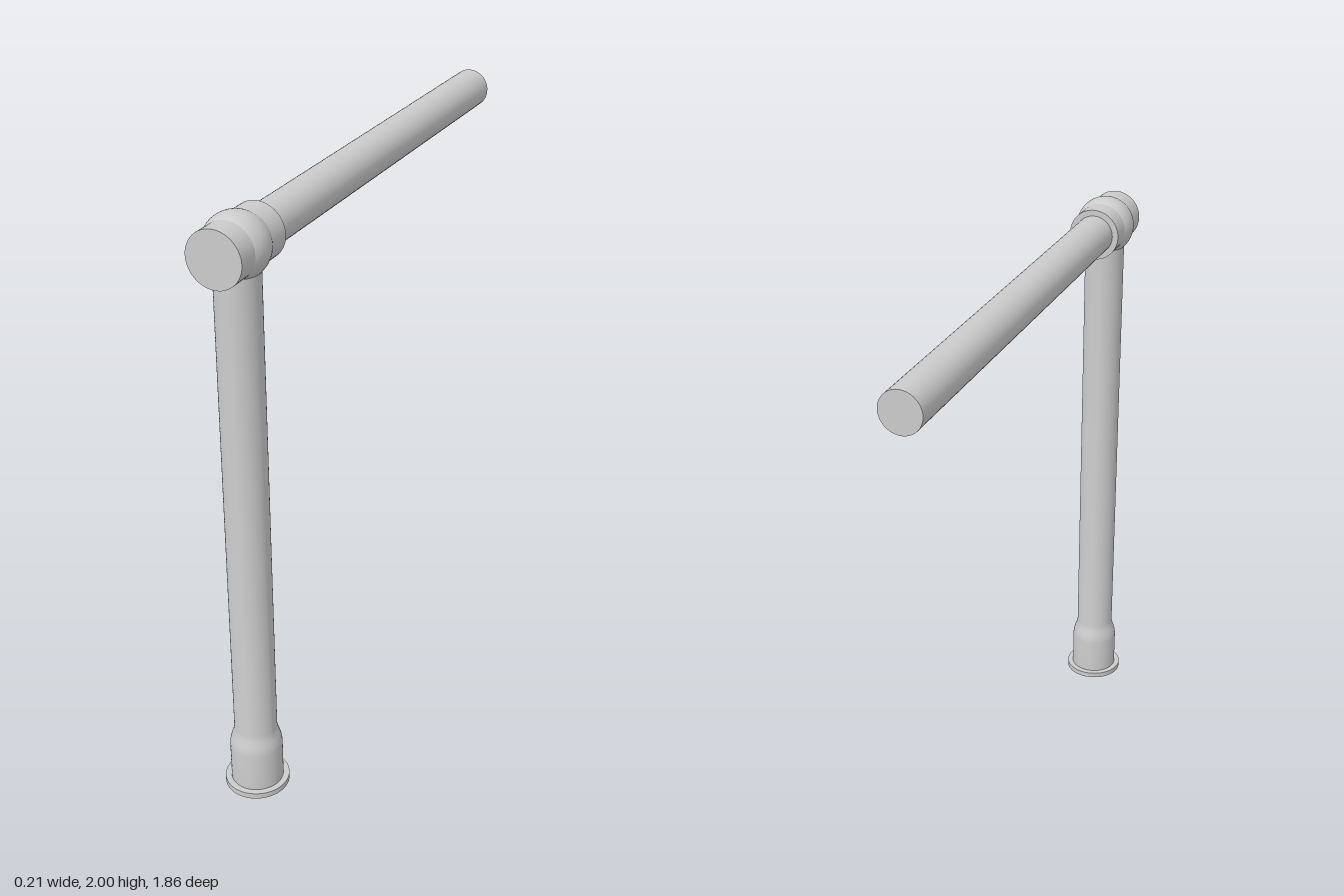
import * as THREE from 'three';
import { toCreasedNormals } from 'three/addons/utils/BufferGeometryUtils.js';

const SEGMENTS = 48;
const HEAD_Y = 1.899;
const POST_Z = 0.804;
const END_Z = 0.928;

export function createModel() {
  const group = new THREE.Group();
  group.name = 'postWithArm';
  const material = new THREE.MeshStandardMaterial({ color: 0xcccccc });

  const add = (name, geometry, x, y, z) => {
    const mesh = new THREE.Mesh(geometry, material);
    mesh.name = name;
    mesh.position.set(x, y, z);
    group.add(mesh);
    return mesh;
  };

  // Surface of revolution with sharp rims kept sharp
  const turned = (points) => toCreasedNormals(
    new THREE.LatheGeometry(points.map(([r, y]) => new THREE.Vector2(r, y)), SEGMENTS), 0.6);

  // Horizontal cylinder running from z0 to z1
  const rod = (name, radius, z0, z1) => {
    const geometry = new THREE.CylinderGeometry(radius, radius, z1 - z0, SEGMENTS);
    geometry.rotateX(Math.PI / 2);
    return add(name, geometry, 0, HEAD_Y, (z0 + z1) / 2);
  };

  // Floor flange
  add('baseFlange', turned([[0, 0], [0.106, 0], [0.106, 0.02], [0, 0.02]]), 0, 0, POST_Z);

  // Wide foot sleeve easing into the upright post
  add('post', turned([
    [0.086, 0.015], [0.086, 0.155], [0.084, 0.172], [0.079, 0.19],
    [0.073, 0.207], [0.07, 0.225], [0.07, HEAD_Y - 0.04],
  ]), 0, 0, POST_Z);

  // Joint on top of the post: a sleeve with a rounded swelling
  rod('jointSleeve', 0.089, 0.678, END_Z);
  add('jointBall', new THREE.SphereGeometry(0.102, SEGMENTS, 32), 0, HEAD_Y - 0.001, POST_Z);

  // Long horizontal arm reaching backwards
  rod('arm', 0.068, -END_Z, 0.7);

  return group;
}
